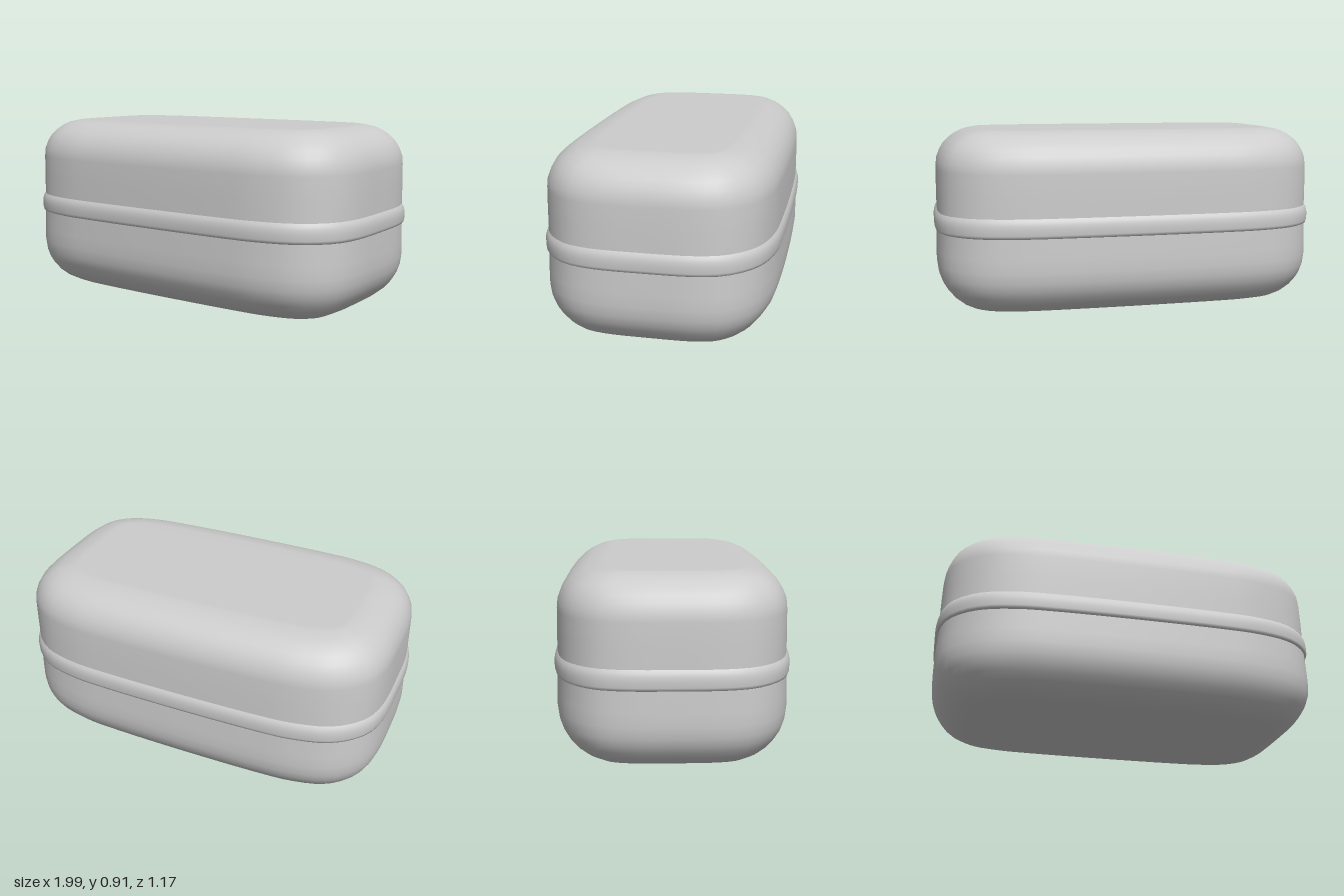
import * as THREE from 'three';

const SEGMENTS = 96;

// Plan outline of the bowed rounded rectangle, mirrored from one quarter
function makeOutline() {
  const quarter = [
    [0.985, 0], [0.976, 0.24], [0.94, 0.365], [0.86, 0.46], [0.765, 0.517],
    [0.6, 0.557], [0.45, 0.568], [0, 0.575],
  ];
  const half = [...quarter, ...quarter.slice(0, -1).reverse().map(([x, z]) => [-x, z])];
  const loop = [...half, ...half.slice(1, -1).reverse().map(([x, z]) => [x, -z])];
  const curve = new THREE.CatmullRomCurve3(
    loop.map(([x, z]) => new THREE.Vector3(x, 0, z)), true, 'centripetal');
  return Array.from({ length: SEGMENTS }, (_, i) => {
    const t = i / SEGMENTS;
    const p = curve.getPointAt(t);
    const d = curve.getTangentAt(t);
    return { x: p.x, z: p.z, nx: d.z, nz: -d.x };
  });
}

// Stack outline rings along a profile of [inset, height], bottom to top
function loft(outline, profile, capBottom, capTop) {
  const positions = [];
  const index = [];
  for (const [inset, y] of profile) {
    for (const p of outline) positions.push(p.x - p.nx * inset, y, p.z - p.nz * inset);
  }
  const n = outline.length;
  const last = (profile.length - 1) * n;
  for (let r = 0; r < last; r += n) {
    for (let i = 0; i < n; i++) {
      const j = (i + 1) % n;
      index.push(r + i, r + n + i, r + j, r + j, r + n + i, r + n + j);
    }
  }
  // Flat end, fanned from its centre
  const cap = (ring, y, up) => {
    const centre = positions.length / 3;
    positions.push(0, y, 0);
    for (let i = 0; i < n; i++) {
      const j = (i + 1) % n;
      index.push(centre, ring + (up ? j : i), ring + (up ? i : j));
    }
  };
  if (capBottom) cap(0, profile[0][1], false);
  if (capTop) cap(last, profile[profile.length - 1][1], true);
  const geometry = new THREE.BufferGeometry();
  geometry.setAttribute('position', new THREE.Float32BufferAttribute(positions, 3));
  geometry.setIndex(index);
  geometry.computeVertexNormals();
  return geometry;
}

export function createModel() {
  const group = new THREE.Group();
  const metal = new THREE.MeshStandardMaterial({ color: 0xcccccc, side: THREE.DoubleSide });
  metal.name = 'plain grey';
  const outline = makeOutline();
  const add = (name, profile, capBottom, capTop) => {
    const mesh = new THREE.Mesh(loft(outline, profile, capBottom, capTop), metal);
    mesh.name = name;
    group.add(mesh);
  };

  // Lower tray with a rounded bottom edge
  add('base', [
    [0.24, 0], [0.22, 0.001], [0.15, 0.014], [0.107, 0.036], [0.07, 0.066], [0.042, 0.1],
    [0.02, 0.137], [0.005, 0.18], [-0.002, 0.235], [-0.001, 0.3], [0.002, 0.41],
  ], true, false);

  // Rolled seam around the middle
  add('seamBand', [
    [0.004, 0.402], [-0.006, 0.407], [-0.01, 0.42], [-0.011, 0.45],
    [-0.009, 0.47], [-0.004, 0.487], [0.005, 0.5],
  ], false, false);

  // Lid with a rounded top edge
  add('lid', [
    [0.005, 0.49], [0.005, 0.6], [0.007, 0.71], [0.011, 0.75], [0.026, 0.79],
    [0.047, 0.825], [0.075, 0.853], [0.11, 0.878], [0.152, 0.897], [0.21, 0.909],
    [0.24, 0.91],
  ], false, true);

  return group;
}
